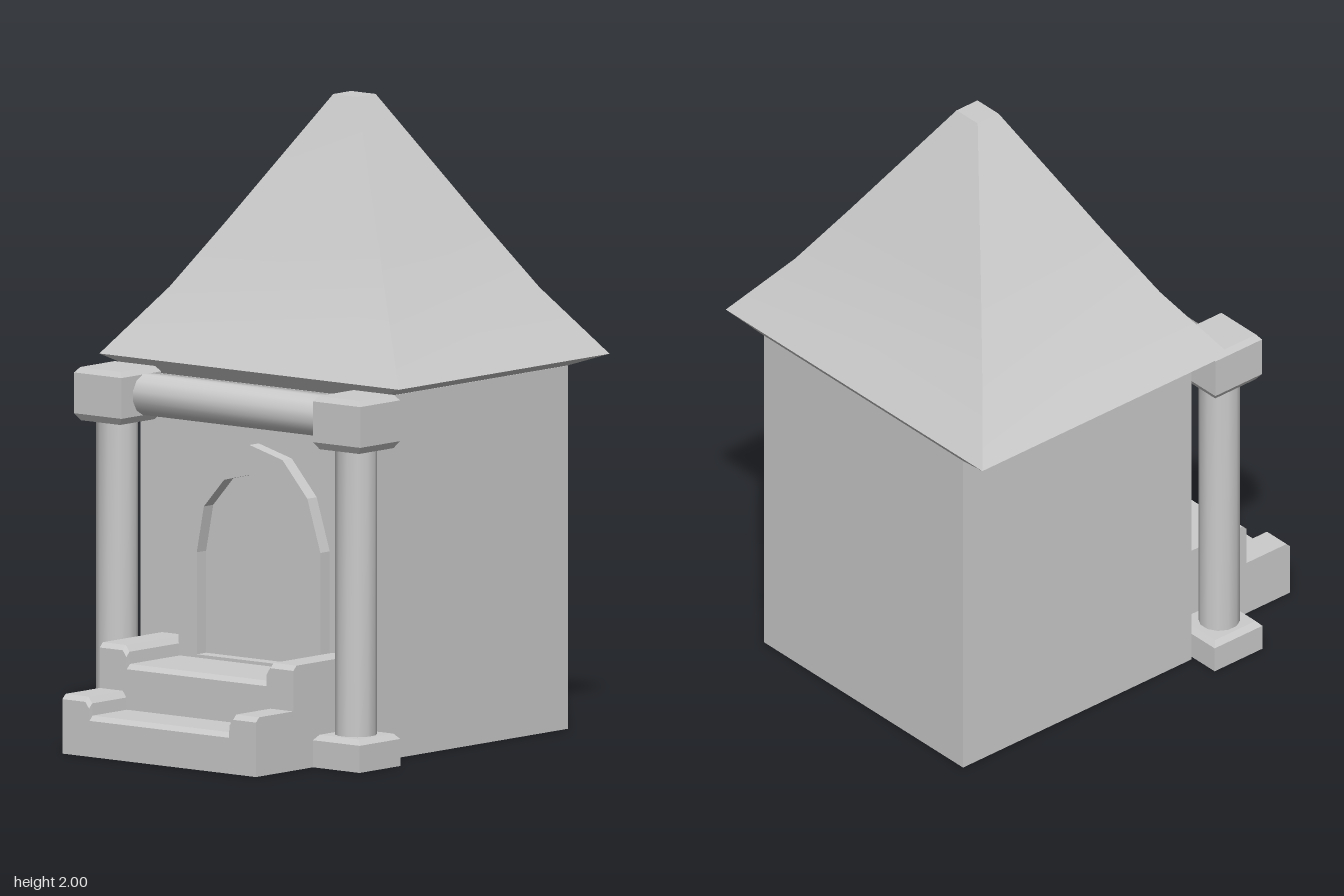
import * as THREE from 'three';
import { toCreasedNormals } from 'three/addons/utils/BufferGeometryUtils.js';

const material = new THREE.MeshStandardMaterial({ color: 0xcccccc });

function part(name, geometry, x = 0, y = 0, z = 0) {
  const mesh = new THREE.Mesh(geometry, material);
  mesh.name = name;
  mesh.position.set(x, y, z);
  return mesh;
}

// Closed solid through stacked rectangles, each given as [halfX, halfZ, y]
function stackedRectangles(levels) {
  const corners = [[-1, 1], [1, 1], [1, -1], [-1, -1]];
  const positions = [];
  const index = [];
  for (const [hx, hz, y] of levels) {
    for (const [sx, sz] of corners) positions.push(sx * hx, y, sz * hz);
  }
  for (let i = 0; i < levels.length - 1; i++) {
    for (let k = 0; k < 4; k++) {
      const a = i * 4 + k, b = i * 4 + (k + 1) % 4;
      index.push(a, b, b + 4, a, b + 4, a + 4);
    }
  }
  const t = (levels.length - 1) * 4;
  index.push(0, 2, 1, 0, 3, 2, t, t + 1, t + 2, t, t + 2, t + 3);
  const geometry = new THREE.BufferGeometry();
  geometry.setAttribute('position', new THREE.Float32BufferAttribute(positions, 3));
  geometry.setIndex(index);
  return toCreasedNormals(geometry, 0.35);
}

// Step with raised cheeks at both ends and a chamfered front edge
function stepGeometry(height, depth) {
  const w = 0.393, drop = 0.058, chamfer = 0.015;
  const half = [[w, 0], [w, height], [0.3, height], [0.285, height - 0.02], [0.283, height - drop]];
  const mirrored = half.map(([x, y]) => [-x, y]).reverse();
  const shape = new THREE.Shape([...half, ...mirrored].map(([x, y]) => new THREE.Vector2(x, y)));
  const geometry = new THREE.ExtrudeGeometry(shape, { depth, steps: 2, bevelEnabled: false });
  const p = geometry.attributes.position;
  for (let i = 0; i < p.count; i++) {
    const z = p.getZ(i);
    if (Math.abs(z - depth / 2) < 1e-4) p.setZ(i, depth - chamfer);
    else if (z > depth - 1e-4 && p.getY(i) > 0.01) p.setY(i, p.getY(i) - chamfer);
  }
  geometry.computeVertexNormals();
  return geometry;
}

// Symmetric arch outline from the right-hand half
function archPoints(half) {
  const left = half.slice(0, -1).map(([x, y]) => [-x, y]).reverse();
  return [...half, ...left].map(([x, y]) => new THREE.Vector2(x, y));
}

export function createModel() {
  const group = new THREE.Group();

  // Main block
  group.add(part('walls', new THREE.BoxGeometry(0.943, 1.14, 0.94), 0, 0.57, -0.22));

  // Flared roof with a sloping underside and a small flat top
  group.add(part('roof', stackedRectangles([
    [0.471, 0.47, 1.14],
    [0.608, 0.508, 1.185],
    [0.443, 0.365, 1.395],
    [0.308, 0.253, 1.6],
    [0.05, 0.043, 2.0],
  ]), -0.002, 0, -0.223));

  // Porch columns with chamfered blocks at foot and head
  for (const [side, x] of [['right', -0.475], ['left', 0.495]]) {
    const column = new THREE.Group();
    column.name = side + 'Column';
    column.position.set(x, 0, 0.357);
    column.add(part('columnBase', stackedRectangles([
      [0.095, 0.098, 0], [0.095, 0.098, 0.085], [0.08, 0.083, 0.102],
    ])));
    const shaft = new THREE.CylinderGeometry(0.065, 0.065, 0.94, 12);
    shaft.rotateY(Math.PI / 12);
    column.add(part('columnShaft', toCreasedNormals(shaft, 0.7), 0, 0.55, 0.003));
    column.add(part('columnCapital', stackedRectangles([
      [0.08, 0.083, 0.998], [0.096, 0.096, 1.02], [0.096, 0.096, 1.148], [0.082, 0.083, 1.165],
    ])));
    group.add(column);
  }

  // Round beam between the capitals
  const beam = new THREE.CylinderGeometry(0.066, 0.066, 0.82, 12);
  beam.rotateY(Math.PI / 12).rotateZ(Math.PI / 2);
  group.add(part('porchBeam', toCreasedNormals(beam, 0.7), 0.01, 1.085, 0.333));

  // Raised arched door surround around the flat door
  const frame = new THREE.Shape(archPoints([
    [0.288, 0.25], [0.288, 0.645], [0.235, 0.81], [0.134, 0.922], [0, 0.957],
  ]));
  frame.holes.push(new THREE.Path(archPoints([
    [0.214, 0.28], [0.214, 0.6], [0.185, 0.747], [0.103, 0.838], [0, 0.863],
  ])));
  group.add(part('doorFrame',
    new THREE.ExtrudeGeometry(frame, { depth: 0.055, bevelEnabled: false }), 0.008, 0, 0.24));

  // Two entrance steps
  group.add(part('upperStep', stepGeometry(0.328, 0.31), 0.008, 0, 0.24));
  group.add(part('lowerStep', stepGeometry(0.186, 0.19), 0.008, 0, 0.54));

  return group;
}
